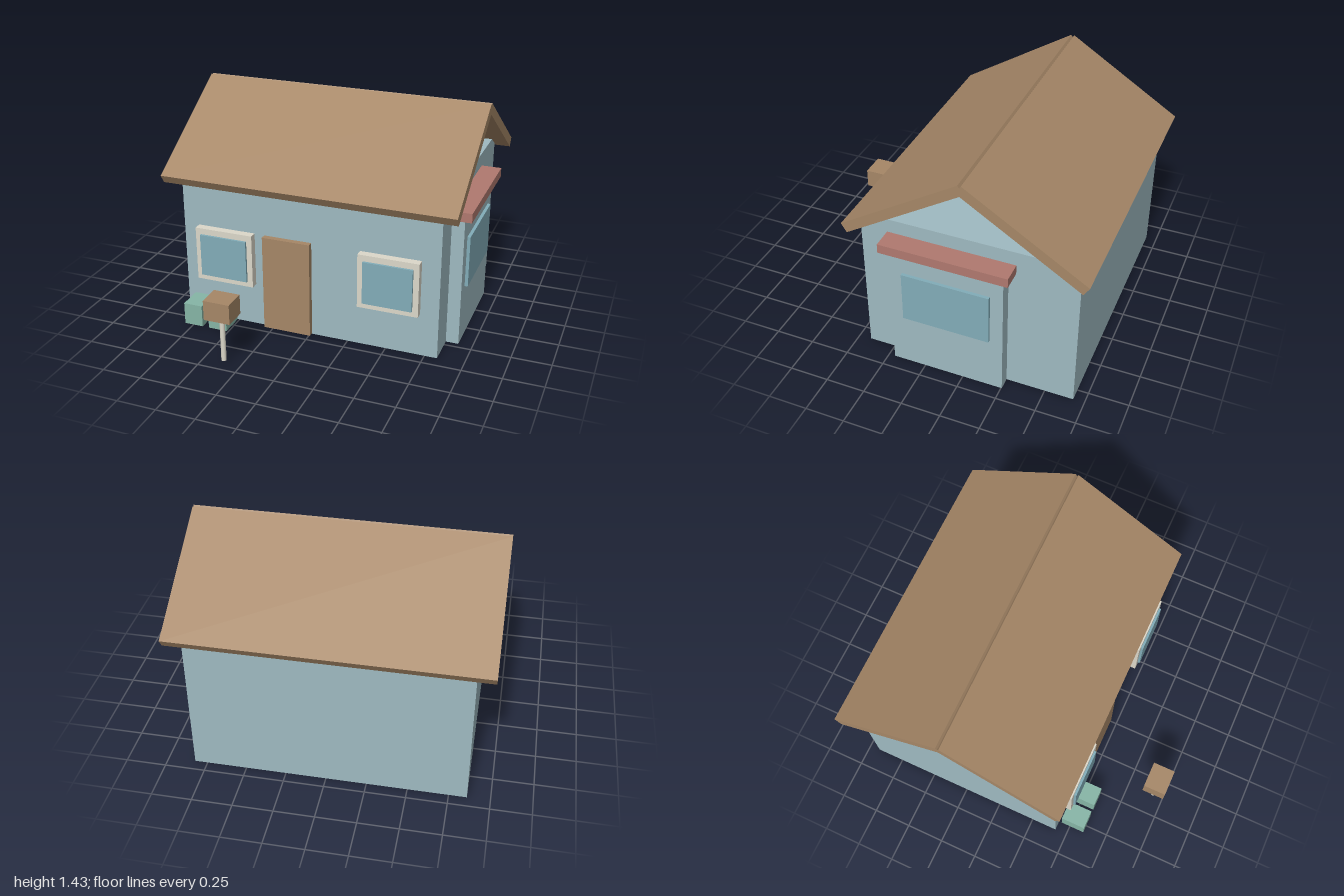
import * as THREE from 'three';

const mat = (color) => new THREE.MeshStandardMaterial({ color });

export function createModel() {
  const house = new THREE.Group();
  house.name = 'house';

  const wall = mat(0x9fbac1);
  const wood = mat(0xa68767);
  const cream = mat(0xdcd8ca);
  const glass = mat(0x82adb9);
  const red = mat(0xb0796f);
  const green = mat(0x86b5a6);

  // Box given by its extents on each axis
  const box = (name, material, [x0, x1], [y0, y1], [z0, z1]) => {
    const mesh = new THREE.Mesh(new THREE.BoxGeometry(x1 - x0, y1 - y0, z1 - z0), material);
    mesh.position.set((x0 + x1) / 2, (y0 + y1) / 2, (z0 + z1) / 2);
    mesh.name = name;
    house.add(mesh);
    return mesh;
  };

  // Main body, side bay with its awning and window
  box('walls', wall, [-0.86, 0.83], [0, 1], [-0.93, 0.42]);
  box('sideBay', wall, [0.8, 0.91], [0, 0.85], [-0.505, 0.21]);
  box('awning', red, [0.8, 0.96], [0.85, 0.91], [-0.55, 0.25]);
  box('bayWindow', glass, [0.9, 0.93], [0.365, 0.7], [-0.425, 0.125]);

  // Roof: two tilted slabs mirrored about the ridge, with square-cut ends
  const ridgeZ = -0.255, thickness = 0.065;
  const eave = [0.748, 0.97], peak = [-0.01 + 0.02, 1.432]; // [distance from ridge, height] of outer corners
  const run = eave[0] - peak[0], rise = peak[1] - eave[1];
  const angle = Math.atan2(rise, run);
  for (const side of [1, -1]) {
    const slab = new THREE.Mesh(new THREE.BoxGeometry(1.9, thickness, Math.hypot(run, rise)), wood);
    const out = (eave[0] + peak[0]) / 2 - (Math.sin(angle) * thickness) / 2;
    const up = (eave[1] + peak[1]) / 2 - (Math.cos(angle) * thickness) / 2;
    slab.position.set(-0.02, up, ridgeZ + side * out);
    slab.rotation.x = side * angle;
    slab.name = side > 0 ? 'frontRoofSlab' : 'backRoofSlab';
    house.add(slab);
  }

  // Front door and framed windows
  box('door', wood, [-0.305, 0.01], [0.005, 0.638], [0.41, 0.457]);
  for (const [side, x] of [['right', -0.559], ['left', 0.523]]) {
    box(side + 'WindowFrame', cream, [x - 0.193, x + 0.193], [0.29, 0.645], [0.43, 0.48]);
    box(side + 'WindowPane', glass, [x - 0.157, x + 0.157], [0.327, 0.605], [0.45, 0.495]);
  }

  // Two bins against the front wall
  for (const x of [-0.738, -0.568]) {
    box('bin', green, [x - 0.0625, x + 0.0625], [0.01, 0.155], [0.44, 0.6]);
  }

  // Mailbox on its post
  box('mailbox', wood, [-0.44, -0.272], [0.32, 0.447], [0.855, 1]);
  const post = new THREE.Mesh(new THREE.CylinderGeometry(0.016, 0.016, 0.31, 12), cream);
  post.position.set(-0.358, 0.178, 0.928);
  post.name = 'mailboxPost';
  house.add(post);

  return house;
}
